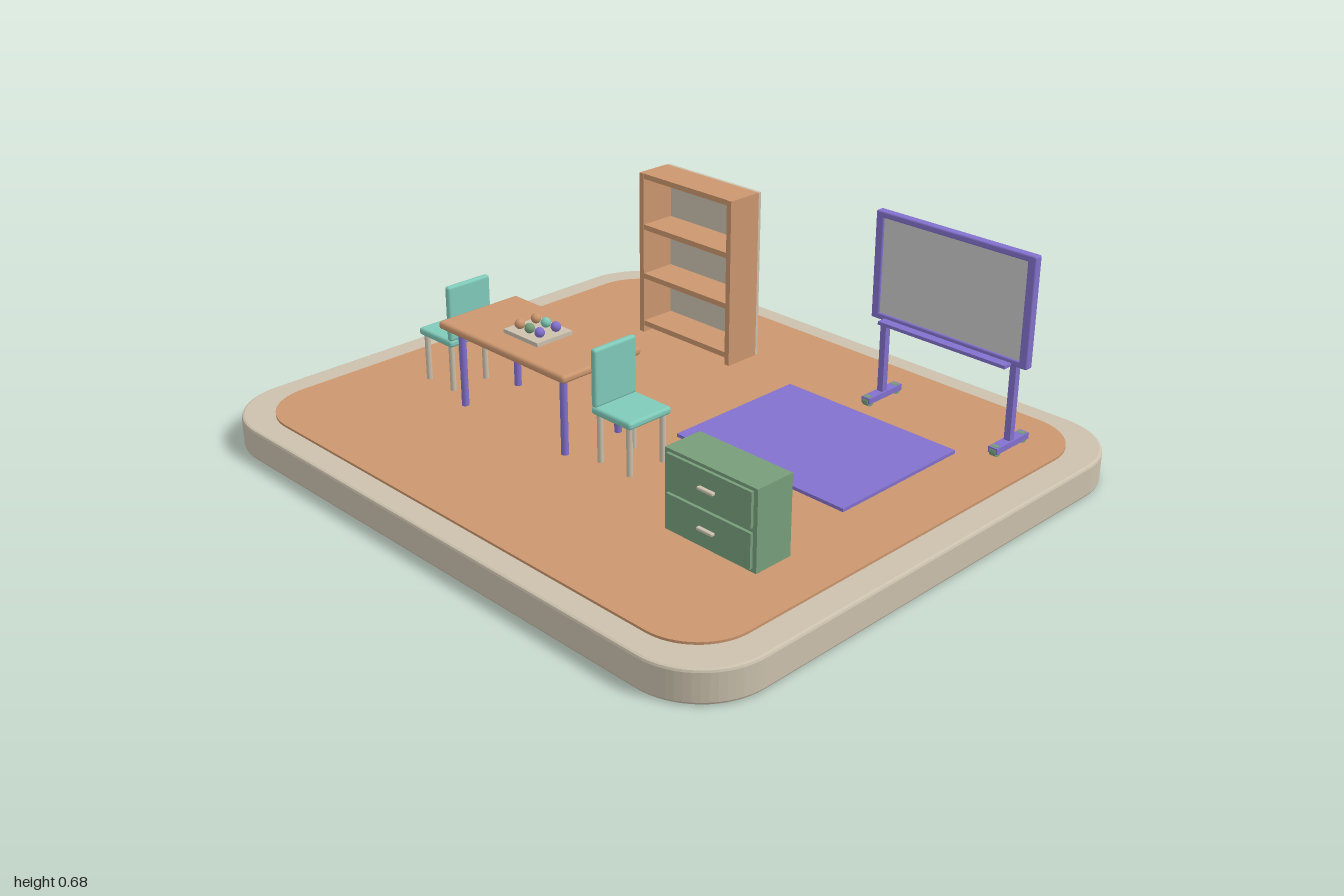
import * as THREE from 'three';
import { RoundedBoxGeometry } from 'three/addons/geometries/RoundedBoxGeometry.js';

const mat = (name, color) => Object.assign(new THREE.MeshStandardMaterial({ color }), { name });

export function createModel() {
  const M = {
    beige: mat('beige', 0xcbc1ad), wood: mat('wood', 0xcb966e), purple: mat('purple', 0x8371cd),
    teal: mat('teal', 0x7fcab9), green: mat('green', 0x779e7a), grey: mat('light grey', 0xcacaca),
  };
  const FLOOR = 0.102;
  const model = new THREE.Group();
  model.name = 'room';

  const group = (name, x = 0, z = 0) => {
    const g = new THREE.Group();
    g.name = name;
    g.position.set(x, 0, z);
    model.add(g);
    return g;
  };
  const add = (parent, name, geo, material, x, y, z) => {
    const m = new THREE.Mesh(geo, material);
    m.name = name;
    m.position.set(x, y, z);
    parent.add(m);
    return m;
  };
  // Box given by its size, its bottom height and an optional edge radius
  const box = (parent, name, material, w, h, d, x, bottom, z, r = 0) =>
    add(parent, name, r ? new RoundedBoxGeometry(w, h, d, 2, r) : new THREE.BoxGeometry(w, h, d),
      material, x, bottom + h / 2, z);
  const leg = (parent, material, r, top, x, z) =>
    add(parent, 'leg', new THREE.CylinderGeometry(r, r, top - FLOOR, 12), material, x, (top + FLOOR) / 2, z);

  // Slab with rounded corners lying flat
  const slab = (name, material, w, d, r, y0, y1, bevel) => {
    const a = w / 2 - bevel, b = d / 2 - bevel;
    const s = new THREE.Shape();
    s.moveTo(-a + r, -b);
    s.lineTo(a - r, -b).absarc(a - r, -b + r, r, -Math.PI / 2, 0);
    s.lineTo(a, b - r).absarc(a - r, b - r, r, 0, Math.PI / 2);
    s.lineTo(-a + r, b).absarc(-a + r, b - r, r, Math.PI / 2, Math.PI);
    s.lineTo(-a, -b + r).absarc(-a + r, -b + r, r, Math.PI, Math.PI * 1.5);
    const geo = new THREE.ExtrudeGeometry(s, {
      depth: y1 - y0 - 2 * bevel, curveSegments: 8, bevelEnabled: bevel > 0,
      bevelThickness: bevel, bevelSize: bevel, bevelSegments: 2,
    });
    geo.rotateX(-Math.PI / 2);
    add(model, name, geo, material, 0, y0 + bevel, 0);
  };
  slab('base', M.beige, 2, 1.724, 0.2, 0, 0.095, 0.008);
  slab('floor', M.wood, 1.826, 1.57, 0.17, 0.09, FLOOR, 0);
  box(model, 'rug', M.purple, 0.61, 0.01, 0.477, 0.398, FLOOR, -0.202);

  // Table with a tray of coloured balls
  const table = group('table', -0.268, 0.232);
  box(table, 'tableTop', M.wood, 0.544, 0.024, 0.292, 0, 0.342, 0, 0.01);
  for (const x of [-0.22, 0.22]) for (const z of [-0.1, 0.1]) leg(table, M.purple, 0.011, 0.345, x, z);
  box(table, 'tray', M.beige, 0.146, 0.012, 0.13, 0, 0.366, 0);
  const ballColours = [[M.wood, M.teal, M.purple], [M.wood, M.green, M.purple]];
  ballColours.forEach((row, j) => row.forEach((m, i) =>
    add(table, 'ball', new THREE.SphereGeometry(0.015, 14, 10), m, (i - 1) * 0.043, 0.392, (j - 0.5) * 0.06)));

  // Two mirrored chairs with their backs towards the table
  for (const [cx, side] of [[-0.653, 1], [0.113, -1]]) {
    const chair = group('chair', cx, 0.231);
    box(chair, 'seat', M.teal, 0.154, 0.023, 0.158, 0, 0.246, 0, 0.009);
    box(chair, 'backrest', M.teal, 0.02, 0.172, 0.154, side * 0.068, 0.266, 0, 0.008);
    for (const x of [-0.058, 0.058]) for (const z of [-0.062, 0.062]) leg(chair, M.beige, 0.009, 0.25, x, z);
  }

  // Bookcase, open at the front
  const bookcase = group('bookcase', -0.338, -0.484);
  const H = 0.634 - FLOOR;
  box(bookcase, 'backPanel', M.beige, 0.394, H, 0.01, 0, FLOOR, -0.06);
  for (const s of [-1, 1]) box(bookcase, 'sidePanel', M.wood, 0.018, H, 0.12, s * 0.188, FLOOR, 0.005);
  for (const y of [0.124, 0.286, 0.45, 0.617])
    box(bookcase, 'shelf', M.wood, 0.358, 0.017, 0.118, 0, y, 0.004);

  // Drawer cabinet
  const cabinet = group('cabinet', 0.597, 0.365);
  box(cabinet, 'cabinetBody', M.green, 0.316, 0.334 - FLOOR, 0.124, 0, FLOOR, -0.004);
  for (const y of [0.112, 0.225]) {
    box(cabinet, 'drawer', M.green, 0.29, 0.1, 0.009, 0, y, 0.0625);
    box(cabinet, 'handle', M.beige, 0.055, 0.009, 0.013, 0, y + 0.046, 0.0735, 0.003);
  }

  // Board on a wheeled stand
  const board = group('board', 0.563, -0.57);
  box(board, 'panel', M.grey, 0.5, 0.3, 0.014, 0, 0.37, 0);
  for (const s of [-1, 1]) {
    box(board, 'frameSide', M.purple, 0.026, 0.327, 0.028, s * 0.256, 0.357, 0, 0.005);
    box(board, 'frameRail', M.purple, 0.538, 0.019, 0.028, 0, s > 0 ? 0.665 : 0.357, 0, 0.005);
    box(board, 'post', M.purple, 0.02, 0.245, 0.02, s * 0.225, 0.12, 0);
    box(board, 'foot', M.purple, 0.03, 0.018, 0.15, s * 0.225, 0.113, 0);
    for (const z of [-0.062, 0.062]) {
      const wheel = new THREE.CylinderGeometry(0.016, 0.016, 0.02, 14).rotateZ(Math.PI / 2);
      add(board, 'wheel', wheel, M.green, s * 0.225, FLOOR + 0.016, z);
    }
  }
  box(board, 'penTray', M.purple, 0.44, 0.01, 0.03, 0, 0.355, 0.028);

  return model;
}
